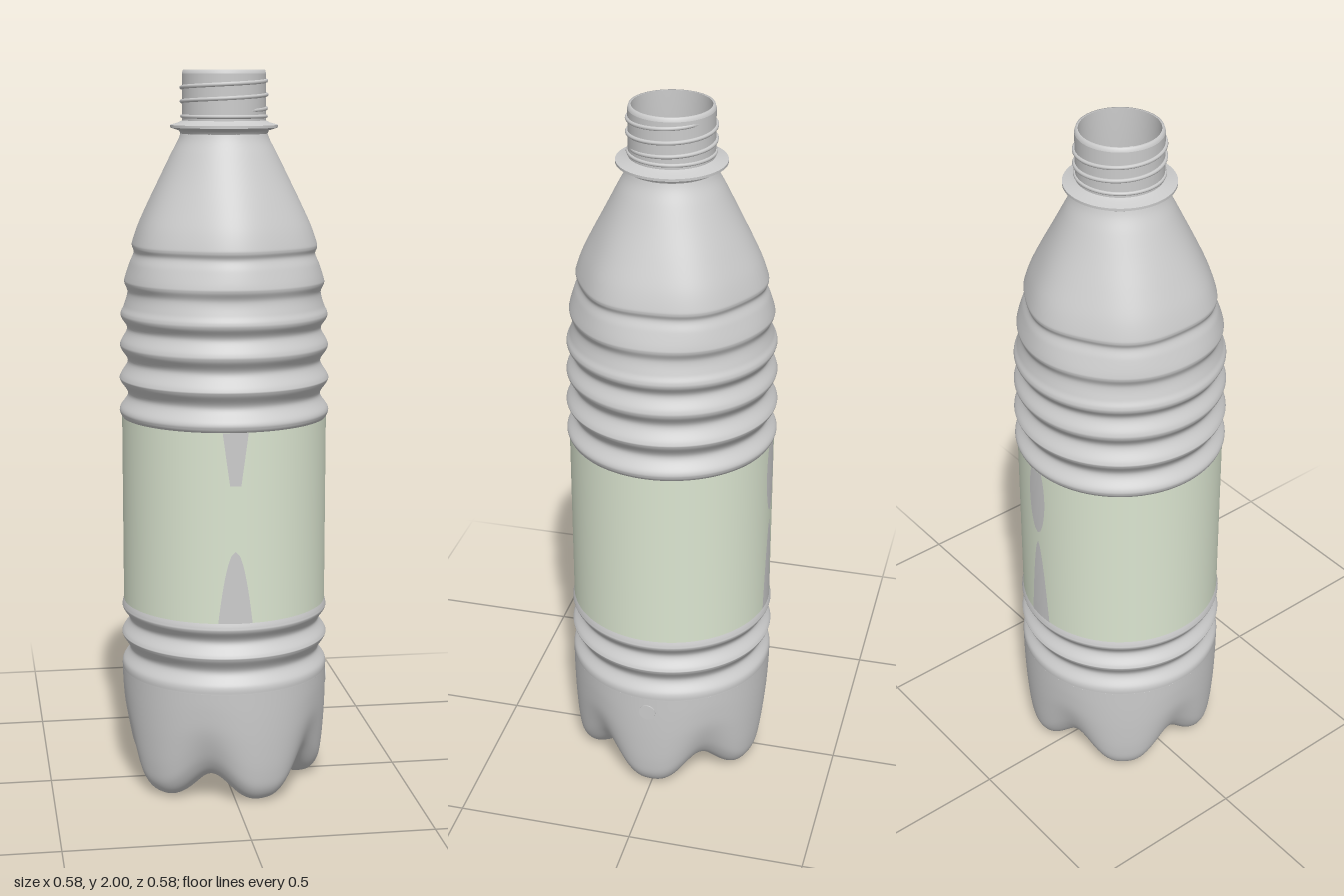
import * as THREE from 'three';

const grey = new THREE.MeshStandardMaterial({ color: 0xcccccc, side: THREE.DoubleSide });
const green = new THREE.MeshStandardMaterial({ color: 0xdbe5d0, side: THREE.DoubleSide });
const V2 = (a) => a.map(([x, y]) => new THREE.Vector2(x, y));

function add(group, name, geometry, material = grey) {
  const mesh = new THREE.Mesh(geometry, material);
  mesh.name = name;
  group.add(mesh);
  return mesh;
}

// Closed surface of revolution whose rings may vary with the angle: point(i, angle) -> [radius, y]
function loft(rows, cols, point) {
  const pos = [], idx = [];
  for (let i = 0; i < rows; i++) {
    for (let j = 0; j < cols; j++) {
      const a = (j / cols) * Math.PI * 2;
      const [r, y] = point(i, a);
      pos.push(r * Math.cos(a), y, r * Math.sin(a));
      if (i === rows - 1) continue;
      const k = (j + 1) % cols, p = i * cols;
      idx.push(p + j, p + cols + j, p + k, p + k, p + cols + j, p + cols + k);
    }
  }
  const g = new THREE.BufferGeometry();
  g.setAttribute('position', new THREE.Float32BufferAttribute(pos, 3));
  g.setIndex(idx);
  g.computeVertexNormals();
  return g;
}

// Grey patch lying on the label at the front (side 1) or back (side -1)
function patch(y0, y1, halfWidth, side) {
  const g = new THREE.PlaneGeometry(1, 1, 6, 20);
  const p = g.attributes.position;
  for (let i = 0; i < p.count; i++) {
    const t = p.getY(i) + 0.5;
    const a = (p.getX(i) * 2 * halfWidth(t) - 0.01) / 0.285;
    p.setXYZ(i, 0.2852 * Math.sin(a) * side, y0 + (y1 - y0) * t, 0.2852 * Math.cos(a) * side);
  }
  g.computeVertexNormals();
  return g;
}

export function createModel() {
  const bottle = new THREE.Group();
  bottle.name = 'bottle';

  // Shoulder and upper ribs, slightly six-sided around the shoulder
  const upper = new THREE.SplineCurve(V2([
    [0.114, 1.845], [0.124, 1.815], [0.145, 1.775], [0.175, 1.715], [0.21, 1.645], [0.238, 1.585],
    [0.254, 1.54], [0.256, 1.525], [0.251, 1.507], [0.262, 1.48], [0.275, 1.44], [0.276, 1.425],
    [0.267, 1.4], [0.276, 1.365], [0.285, 1.345], [0.284, 1.33], [0.268, 1.3], [0.286, 1.263],
    [0.286, 1.245], [0.267, 1.21], [0.288, 1.17], [0.288, 1.155], [0.267, 1.118], [0.289, 1.08],
    [0.289, 1.064], [0.281, 1.052],
  ])).getPoints(200);
  add(bottle, 'shoulderAndUpperRibs', loft(upper.length, 96, (i, a) => {
    const { x: r, y } = upper[i];
    const hex = 0.017 * THREE.MathUtils.smoothstep(y, 1.36, 1.52) * (1 - THREE.MathUtils.smoothstep(y, 1.56, 1.8));
    return [r * (1 - hex * Math.cos(6 * a)), y];
  }));

  // Straight waist under the label, then the lower ribs
  const lower = new THREE.SplineCurve(V2([
    [0.281, 0.54], [0.288, 0.518], [0.287, 0.505], [0.268, 0.472], [0.288, 0.438],
    [0.288, 0.425], [0.268, 0.388], [0.288, 0.352], [0.29, 0.33],
  ])).getPoints(80);
  add(bottle, 'waist', new THREE.CylinderGeometry(0.281, 0.281, 0.512, 96, 1, true)).position.y = 0.796;
  add(bottle, 'lowerRibs', new THREE.LatheGeometry(lower, 96));

  // Five-footed base: blend between a foot profile and a valley profile
  const foot = new THREE.SplineCurve(V2([
    [0.29, 0.33], [0.289, 0.25], [0.286, 0.17], [0.28, 0.09], [0.27, 0.04], [0.245, 0.008],
    [0.205, 0], [0.165, 0.012], [0.08, 0.04], [0, 0.055],
  ])).getPoints(54);
  const valley = new THREE.SplineCurve(V2([
    [0.29, 0.33], [0.288, 0.28], [0.282, 0.22], [0.268, 0.165], [0.25, 0.12], [0.225, 0.085],
    [0.19, 0.068], [0.14, 0.062], [0.07, 0.057], [0, 0.055],
  ])).getPoints(54);
  add(bottle, 'footedBase', loft(foot.length, 160, (i, a) => {
    const v = Math.pow(0.5 - 0.5 * Math.cos(5 * a), 1.4);
    const p = foot[i].clone().lerp(valley[i], v);
    return [p.x, p.y];
  }));

  // Label sleeve and the grey patches showing through it
  add(bottle, 'label', new THREE.CylinderGeometry(0.2845, 0.2845, 0.525, 96, 1, true), green).position.y = 0.7925;
  add(bottle, 'frontUpperPatch', patch(0.91, 1.055, (t) => 0.015 + 0.02 * t, 1));
  add(bottle, 'frontLowerPatch', patch(0.53, 0.73, (t) => 0.047 * Math.sqrt(1 - t), 1));
  const lens = (t) => 0.034 * Math.sqrt(Math.sin(Math.PI * Math.min(1, 0.15 + 0.85 * t)));
  add(bottle, 'backUpperPatch', patch(0.84, 1.055, (t) => lens(1 - t), -1));
  add(bottle, 'backLowerPatch', patch(0.53, 0.81, (t) => 0.04 * Math.pow(1 - t, 0.6), -1));

  // Neck: hard-edged profile made of separate lathed bands
  const band = (name, pts) => add(bottle, name, new THREE.LatheGeometry(V2(pts), 64));
  band('neckWall', [[0.114, 1.84], [0.114, 1.99]]);
  band('neckLip', [[0.114, 1.99], [0.111, 2], [0.105, 2]]);
  band('neckBore', [[0.105, 2], [0.105, 1.86], [0.112, 1.835]]);
  band('collarTop', [[0.114, 1.865], [0.125, 1.859], [0.147, 1.853]]);
  band('collarEdge', [[0.147, 1.853], [0.147, 1.846]]);
  band('collarUnderside', [[0.147, 1.846], [0.122, 1.838], [0.118, 1.828]]);
  add(bottle, 'neckRing', new THREE.TorusGeometry(0.114, 0.005, 8, 64).rotateX(Math.PI / 2)).position.y = 1.876;

  // Screw thread
  const helix = [];
  for (let i = 0; i <= 80; i++) {
    const t = i / 80, a = 1 - t * Math.PI * 4.6;
    const r = 0.115 - 0.006 * Math.pow(Math.abs(2 * t - 1), 12);
    helix.push(new THREE.Vector3(r * Math.cos(a), 1.892 + 0.085 * t, r * Math.sin(a)));
  }
  add(bottle, 'screwThread', new THREE.TubeGeometry(new THREE.CatmullRomCurve3(helix), 240, 0.0055, 8));

  // Small moulded stud on the left side
  const stud = add(bottle, 'sideStud', new THREE.CylinderGeometry(0.024, 0.024, 0.02, 24).rotateZ(Math.PI / 2));
  stud.position.set(0.283, 0.285, 0);

  return bottle;
}
